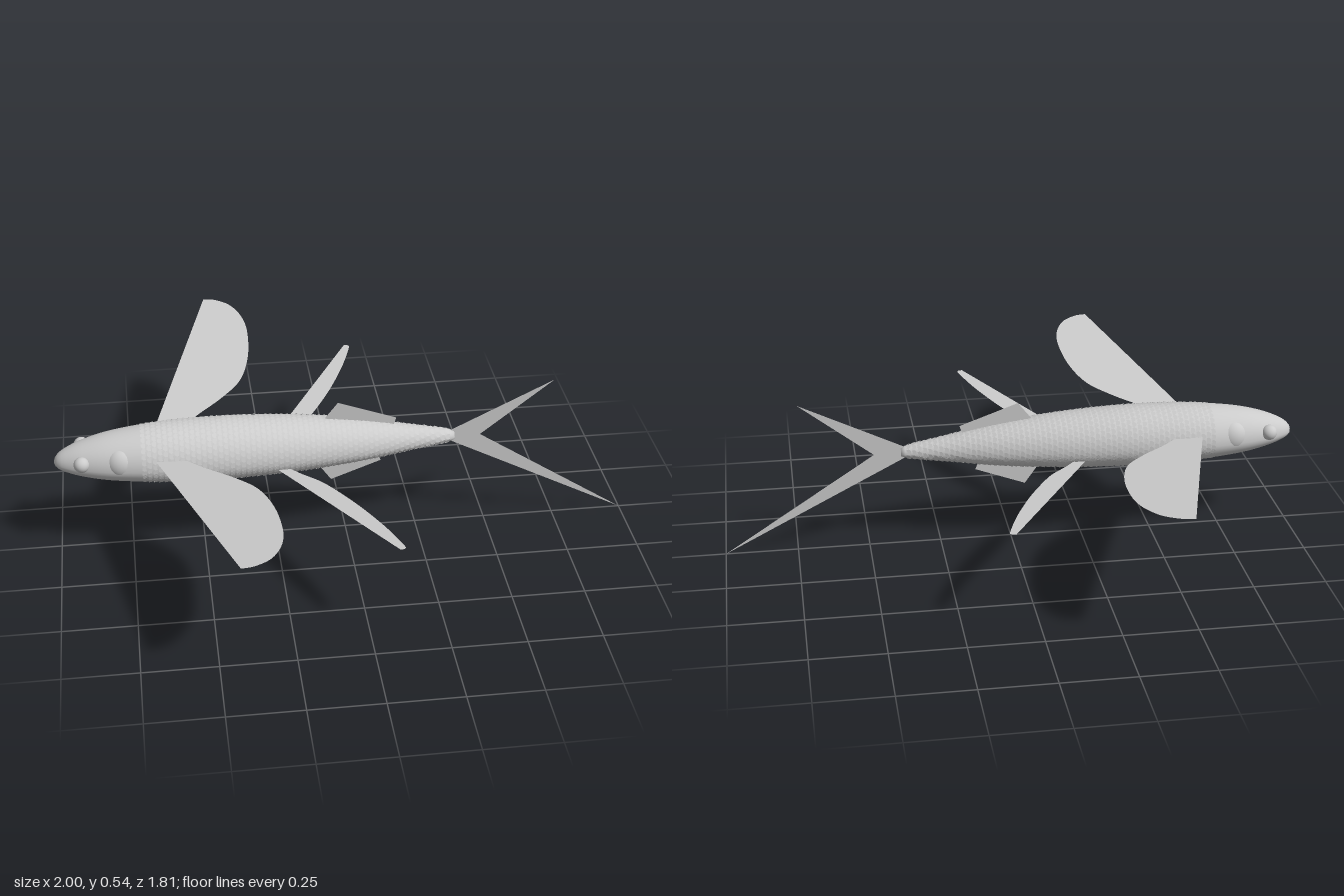
import * as THREE from 'three';
import { mergeGeometries } from 'three/addons/utils/BufferGeometryUtils.js';
import { ParametricGeometry } from 'three/addons/geometries/ParametricGeometry.js';

const grey = new THREE.MeshStandardMaterial({ color: 0xcccccc });
const thin = new THREE.MeshStandardMaterial({ color: 0xcccccc, side: THREE.DoubleSide });
const AXIS = 0.345; // height of the widest line of the body

// Body half-width along x; the back is as high as it is wide, the belly shallower
const profile = new THREE.SplineCurve([
  [-1, 0.002], [-0.992, 0.022], [-0.965, 0.044], [-0.9, 0.072], [-0.8, 0.097], [-0.65, 0.115],
  [-0.5, 0.121], [-0.35, 0.12], [-0.15, 0.108], [0.05, 0.084], [0.22, 0.052], [0.37, 0.023], [0.378, 0.002],
].map(([x, r]) => new THREE.Vector2(x, r)));

function bodyPoint(u, angle, target) {
  const p = profile.getPointAt(THREE.MathUtils.clamp(u, 0, 1));
  const c = Math.cos(angle);
  return target.set(p.x, AXIS + p.y * c * (c > 0 ? 1 : 0.69), p.y * Math.sin(angle));
}

function add(parent, name, geometry, material = grey) {
  const mesh = new THREE.Mesh(geometry, material);
  mesh.name = name;
  parent.add(mesh);
  return mesh;
}

// Staggered rows of small flakes, each with its front edge slightly lifted
function scalesGeometry() {
  const flakes = [], rows = 58;
  const p = new THREE.Vector3(), q = new THREE.Vector3(), s = new THREE.Vector3();
  for (let i = 0; i < rows; i++) {
    const u = 0.235 + (0.735 * i) / (rows - 1);
    const count = Math.max(8, Math.round((profile.getPointAt(u).y * 2 * Math.PI) / 0.02));
    for (let j = 0; j < count; j++) {
      const a = ((j + (i % 2) / 2) / count) * Math.PI * 2;
      bodyPoint(u, a, p);
      const along = bodyPoint(u + 0.004, a, q).sub(p).normalize();
      const around = bodyPoint(u, a + 0.02, s).sub(p).normalize();
      const normal = around.clone().cross(along).normalize();
      const tilted = along.clone().addScaledVector(normal, -0.2).normalize();
      const side = normal.clone().cross(tilted).normalize();
      const m = new THREE.Matrix4().makeBasis(tilted, side, tilted.clone().cross(side));
      m.setPosition(p.addScaledVector(normal, 0.0006));
      flakes.push(new THREE.CircleGeometry(0.0105, 7).applyMatrix4(m));
    }
  }
  return mergeGeometries(flakes);
}

// Upright fin outline in the middle plane
function uprightFin(points) {
  return new THREE.ShapeGeometry(new THREE.Shape(points.map(([x, y]) => new THREE.Vector2(x, y))));
}

// Spread fin: straight leading edge, curved trailing edge, rising with distance from the body
function wingFin(root, trailing, side, baseY, slope) {
  const shape = new THREE.Shape();
  shape.moveTo(...root);
  shape.lineTo(...trailing[0]);
  shape.splineThru(trailing.slice(1).map(([x, z]) => new THREE.Vector2(x, z)));
  shape.closePath();
  const g = new THREE.ShapeGeometry(shape, 32);
  const pos = g.attributes.position;
  for (let i = 0; i < pos.count; i++) {
    const z = pos.getY(i);
    pos.setXYZ(i, pos.getX(i), baseY + slope * z, side * z);
  }
  // keep the front of the surface upward on both sides
  if (side > 0) g.setIndex(Array.from(g.index.array).reverse());
  g.computeVertexNormals();
  return g;
}

export function createModel() {
  const fish = new THREE.Group();
  fish.name = 'flyingFish';

  add(fish, 'body', new ParametricGeometry((u, v, t) => bodyPoint(u, -2 * Math.PI * v, t), 90, 40));
  add(fish, 'scales', scalesGeometry(), thin);

  const pectoral = [[-0.43, 0.905], [-0.385, 0.895], [-0.33, 0.85], [-0.292, 0.76], [-0.282, 0.65],
    [-0.295, 0.5], [-0.335, 0.365], [-0.41, 0.265], [-0.5, 0.175], [-0.58, 0.08]];
  const pelvic = [[0.085, 0.692], [0.1, 0.688], [0.1, 0.665], [0.06, 0.545], [0, 0.405],
    [-0.06, 0.29], [-0.11, 0.21], [-0.17, 0.145], [-0.23, 0.07]];

  for (const side of [1, -1]) {
    const name = side > 0 ? 'front' : 'back';
    const eye = add(fish, name + 'Eye', new THREE.SphereGeometry(0.027, 24, 16));
    eye.position.set(-0.905, 0.367, side * 0.067);

    // Shallow bulge behind the eye
    const gill = add(fish, name + 'GillCover', new THREE.SphereGeometry(1, 28, 20));
    gill.scale.set(0.055, 0.055, 0.044);
    gill.position.set(-0.772, 0.362, side * 0.061);

    add(fish, name + 'PectoralFin', wingFin([-0.665, 0.07], pectoral, side, 0.37, 0.122), thin);
    add(fish, name + 'PelvicFin', wingFin([-0.265, 0.07], pelvic, side, 0.312, 0.067), thin);
  }

  add(fish, 'dorsalFin', uprightFin([[-0.1, 0.41], [-0.025, 0.505], [0.178, 0.432], [0.165, 0.39]]), thin);
  add(fish, 'analFin', uprightFin([[-0.12, 0.3], [-0.05, 0.2], [0.125, 0.265], [0.105, 0.31]]), thin);
  add(fish, 'tailFin', uprightFin([[0.355, 0.36], [0.73, 0.542], [0.475, 0.343], [1, 0], [0.355, 0.333]]), thin);

  return fish;
}
